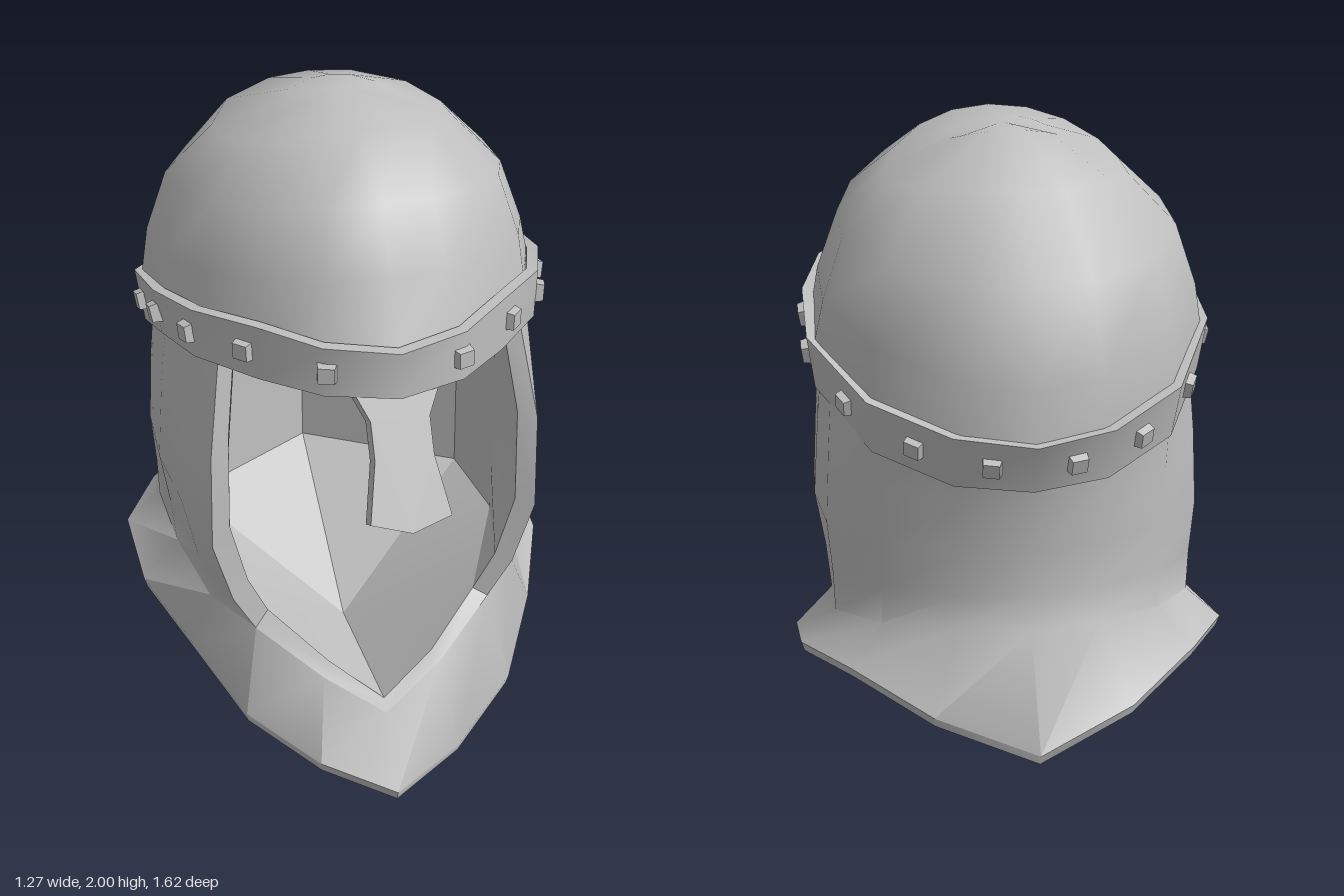
import * as THREE from 'three';
import { mergeGeometries, toCreasedNormals } from 'three/addons/utils/BufferGeometryUtils.js';

const steel = new THREE.MeshStandardMaterial({ color: 0xc0c0c0, side: THREE.DoubleSide });
steel.name = 'steel';

// Half outline (front -> left side -> back) mirrored into a closed ring
const ring = (half) => [...half, ...half.slice(1, -1).reverse().map(([x, y, z]) => [-x, y, z])];
// Half outline ending on the centre line, mirrored into an open row
const openRow = (half) => [...half, ...half.slice(0, -1).reverse().map(([x, y, z]) => [-x, y, z])];

// Skin between rows of points; rows run upward, columns anticlockwise from above
function sheet(rows, closed = true) {
  const pos = [];
  const same = (p, q) => p.every((v, k) => Math.abs(v - q[k]) < 1e-6);
  const tri = (a, b, c) => {
    if (!same(a, b) && !same(b, c) && !same(a, c)) pos.push(...a, ...b, ...c);
  };
  for (let j = 0; j < rows.length - 1; j++) {
    const lo = rows[j], hi = rows[j + 1], n = lo.length;
    for (let i = 0; i < (closed ? n : n - 1); i++) {
      const k = (i + 1) % n;
      tri(lo[i], lo[k], hi[k]);
      tri(lo[i], hi[k], hi[i]);
    }
  }
  const g = new THREE.BufferGeometry();
  g.setAttribute('position', new THREE.Float32BufferAttribute(pos, 3));
  return g;
}

function add(group, name, geometry, crease) {
  const mesh = new THREE.Mesh(toCreasedNormals(geometry, crease), steel);
  mesh.name = name;
  group.add(mesh);
  return mesh;
}

// Dome: rings given by front, side and back extents, egg-shaped below and rounder above
function domeGeometry() {
  const plan = [[0, 1], [0.31, 0.92], [0.575, 0.735], [0.84, 0.5], [0.975, 0.22],
    [1, -0.17], [0.76, -0.61], [0.35, -0.915], [0, -1]];
  const levels = [ // zFront, yFront, halfWidth, ySide, zBack, yBack, roundness
    [0.63, 1.5, 0.57, 1.41, -0.7, 1.21, 0.1],
    [0.535, 1.69, 0.55, 1.55, -0.69, 1.4, 0.9],
    [0.44, 1.87, 0.49, 1.725, -0.62, 1.66, 1],
    [0.21, 1.985, 0.35, 1.865, -0.44, 1.9, 1],
    [0.03, 1.995, 0.16, 1.96, -0.17, 2.0, 1],
    [-0.07, 2.0, 0, 2.0, -0.07, 2.0, 1]];
  return sheet(levels.map(([zf, yf, w, ys, zb, yb, round]) => {
    const mid = zb + (zf - zb) * 0.45;
    return ring(plan.map(([px, pt]) => {
      const s = 1 + round * (1 / Math.hypot(px, pt) - 1);
      const x = px * s, t = pt * s;
      return [x * w,
        ys + (t > 0 ? yf - ys : yb - ys) * Math.abs(t) ** 1.4,
        mid + (t > 0 ? zf - mid : mid - zb) * t];
    }));
  }));
}

// Collar and neck guard with the face opening
const rimTop = [[0, 0.03, 0.69], [0.215, 0.11, 0.6], [0.41, 0.225, 0.455], [0.53, 0.365, 0.25],
  [0.63, 0.44, -0.02], [0.635, 0.495, -0.28], [0.51, 0.505, -0.5], [0.29, 0.42, -0.69], [0, 0.335, -0.805]];
const base = [[0, 0.22, 0.54], [0.18, 0.345, 0.49], [0.36, 0.475, 0.37], [0.47, 0.52, 0.23],
  [0.52, 0.56, -0.03], [0.53, 0.59, -0.27], [0.41, 0.62, -0.45], [0.21, 0.64, -0.575], [0, 0.645, -0.635]];
const wallRows = [ // opening edge -> back
  [[0.43, 0.6, 0.385], [0.5, 0.66, 0.22], [0.535, 0.7, -0.03], [0.535, 0.71, -0.27],
    [0.41, 0.73, -0.45], [0.2, 0.74, -0.56], [0, 0.75, -0.615]],
  [[0.49, 0.8, 0.4], [0.545, 0.86, 0.22], [0.565, 0.87, -0.03], [0.55, 0.87, -0.27],
    [0.42, 0.88, -0.45], [0.2, 0.88, -0.57], [0, 0.88, -0.62]],
  [[0.487, 1.1, 0.4], [0.535, 1.12, 0.2], [0.55, 1.12, -0.03], [0.54, 1.1, -0.27],
    [0.42, 1.05, -0.45], [0.2, 1.03, -0.585], [0, 1.03, -0.63]],
  [[0.44, 1.42, 0.32], [0.505, 1.42, 0.17], [0.525, 1.4, -0.03], [0.525, 1.32, -0.25],
    [0.43, 1.23, -0.45], [0.2, 1.18, -0.61], [0, 1.15, -0.66]]];
const rim = ring(rimTop);
const lip = rim.map(([x, y, z]) => [x * 0.985, y - 0.03, z * 0.985]);
const apex = (n, y) => Array(n).fill([0, y, 0]);
const inset = ([x, y, z]) => [x * 0.885, y + 0.035 * (1 - x), z * 0.95];

function neckGeometry() {
  return mergeGeometries([
    sheet([lip, rim, ring(base)]),
    sheet([base.slice(2), ...wallRows].map(openRow), false),
  ]);
}

// Edge of the opening: down one side, through the V and up the other
function edgeGeometry() {
  const edge = openRow([...wallRows.map((r) => r[0]).reverse(), base[2], base[1], base[0]]);
  return sheet([edge.map(inset), edge], false);
}

// Lining: a few flat panels inside the wall, and the floor
function liningGeometry() {
  const panels = [ // side y, corner y, back y, back z
    [0.55, 0.57, 0.56, -0.56], [0.7, 0.7, 0.7, -0.565], [0.86, 0.86, 0.86, -0.575],
    [1.08, 1.05, 1.03, -0.575], [1.4, 1.38, 1.36, -0.54]];
  const rows = [base[2], ...wallRows.map((r) => r[0])].map((edge, j) => {
    const [side, corner, back, z] = panels[j];
    return [inset(edge), [0.475, side, 0], [0.435, corner, -0.27], [0, back, z]];
  });
  const foot = ring([inset(base[0]), inset(base[1]), ...rows[0]]);
  return mergeGeometries([
    sheet(rows.map(openRow).reverse(), false),
    sheet([foot, apex(foot.length, 0.22)]),
  ]);
}

// Brow band: x, z, top y, bottom y; the sides lean inward below
const bandHalf = [[0, 0.67, 1.525, 1.385], [0.205, 0.595, 1.53, 1.38], [0.36, 0.45, 1.54, 1.375],
  [0.51, 0.28, 1.525, 1.375], [0.58, 0.06, 1.485, 1.34], [0.59, -0.2, 1.42, 1.26],
  [0.45, -0.5, 1.32, 1.155], [0.23, -0.675, 1.265, 1.1], [0, -0.735, 1.245, 1.09]];
const bandTop = bandHalf.map(([x, z, t]) => [x, t, z]);
const bandBottom = bandHalf.map(([x, z, , b]) => [x * (z > 0.1 ? 0.985 : 0.96), b, z + Math.max(0, -z) * 0.09]);

function bandGeometry() {
  const shrink = (half) => half.map(([x, y, z]) => [x * 0.94, y, z * 0.94]);
  return sheet([shrink(bandBottom), bandBottom, bandTop, shrink(bandTop), shrink(bandBottom)].map(ring));
}

// Studs: tapered square pegs set along the band
function addStuds(group) {
  const peg = new THREE.CylinderGeometry(0.034, 0.044, 0.05, 4).rotateY(Math.PI / 4).rotateX(Math.PI / 2);
  const places = [[0, 0.95], [2, 0.2], [3, 0.12], [4, 0.04], [4, 0.77], [5, 0.62], [6, 0.55], [7, 0.47]];
  for (const side of [1, -1]) {
    for (const [seg, t] of places) {
      const at = (half, f) => new THREE.Vector3(...half[seg]).lerp(new THREE.Vector3(...half[seg + 1]), f);
      const mid = (f) => at(bandTop, f).add(at(bandBottom, f)).multiplyScalar(0.5);
      const flip = new THREE.Vector3(side, 1, 1);
      const along = mid(1).sub(mid(0)).multiply(flip).multiplyScalar(side).normalize();
      const up = at(bandTop, t).sub(at(bandBottom, t)).multiply(flip).normalize();
      const out = along.clone().cross(up).normalize();
      up.crossVectors(out, along);
      const stud = add(group, 'stud', peg, 0.3);
      stud.quaternion.setFromRotationMatrix(new THREE.Matrix4().makeBasis(along, up, out));
      stud.position.copy(mid(t).multiply(flip)).addScaledVector(out, -0.002);
    }
  }
}

// Nose guard: flared plate sloping forward from the band
function noseGeometry() {
  const half = [[0.13, 0], [0.125, -0.06], [0.085, -0.15], [0.085, -0.26], [0.117, -0.435]];
  const outline = [...half, [0, -0.472], ...half.map(([x, y]) => [-x, y]).reverse()];
  const shape = new THREE.Shape(outline.map(([x, y]) => new THREE.Vector2(x, y)));
  return new THREE.ExtrudeGeometry(shape, { depth: 0.064, bevelEnabled: false })
    .rotateX(-0.49).translate(0, 1.42, 0.533);
}

export function createModel() {
  const helmet = new THREE.Group();
  helmet.name = 'helmet';
  add(helmet, 'dome', domeGeometry(), 1.3);
  add(helmet, 'neckGuard', neckGeometry(), 0.9);
  add(helmet, 'underside', sheet([apex(16, 0.19), lip]), 0.05);
  add(helmet, 'openingEdge', edgeGeometry(), 0.6);
  add(helmet, 'lining', liningGeometry(), 0.3);
  add(helmet, 'browBand', bandGeometry(), 0.8);
  add(helmet, 'noseGuard', noseGeometry(), 0.4);
  const studs = new THREE.Group();
  studs.name = 'studs';
  addStuds(studs);
  helmet.add(studs);
  return helmet;
}
